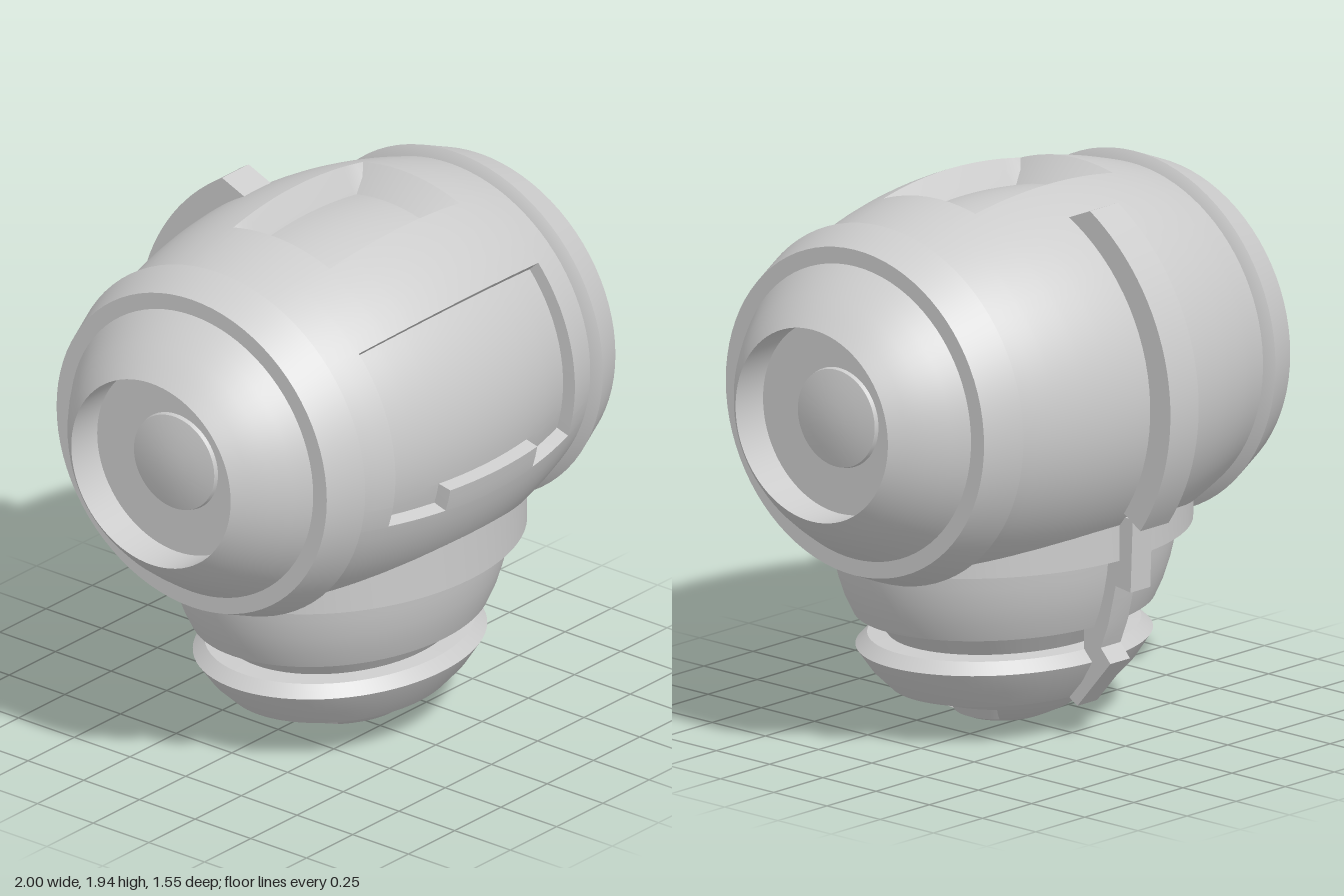
import * as THREE from 'three';
import { toCreasedNormals } from 'three/addons/utils/BufferGeometryUtils.js';

const CY = 1.255, CZ = 0.052, SZ = 1.037; // barrel axis and its stretch in z
const NZ = 0.07;                          // neck centre in z
const RAD = Math.PI / 180;
const material = new THREE.MeshStandardMaterial({ color: 0xcccccc, side: THREE.DoubleSide });

function part(name, geometry, crease = 30) {
  const mesh = new THREE.Mesh(toCreasedNormals(geometry, crease * RAD), material);
  mesh.name = name;
  return mesh;
}

// sorted grid lines: even steps plus the exact edges of cut-outs
function lines(from, to, steps, extra) {
  const all = [...extra];
  for (let i = 0; i <= steps; i++) all.push(from + (to - from) * i / steps);
  return [...new Set(all.map(v => +v.toFixed(5)))].sort((a, b) => a - b);
}

// surface through f(u, v) = [x, y, z, depth]; diagonals follow the creases of the depth
function grid(us, vs, f) {
  const pos = [], depth = [], index = [], n = vs.length;
  for (const u of us) for (const v of vs) {
    const p = f(u, v);
    pos.push(p[0], p[1], p[2]);
    depth.push(p[3]);
  }
  for (let i = 0; i < us.length - 1; i++) for (let j = 0; j < n - 1; j++) {
    const a = i * n + j, b = a + n, c = b + 1, d = a + 1;
    if (Math.abs(depth[a] - depth[c]) >= Math.abs(depth[b] - depth[d])) index.push(a, b, c, a, c, d);
    else index.push(a, b, d, b, c, d);
  }
  const g = new THREE.BufferGeometry();
  g.setAttribute('position', new THREE.Float32BufferAttribute(pos, 3));
  g.setIndex(index);
  return g;
}

const lathe = (pts, seg = 80) => new THREE.LatheGeometry(pts.map(p => new THREE.Vector2(...p)), seg);
const clamp = v => Math.min(1, Math.max(0, v));

// cut-outs of the barrel; t is the angle in degrees from the top towards the front
function cutDepth(x, t) {
  const ax = Math.abs(x);
  const pit = clamp(Math.min((0.35 - ax) / 0.09, (t + 14) / 2.4, (22 - t) / 2.8));
  const tab = Math.max((ax - 0.235) / 0.002, (100.4 - t) / 0.2);
  const door = clamp(Math.min((0.485 - ax) / 0.002, (t - 49) / 0.2, (107.5 - t) / 0.2, tab));
  return 0.1 * pit + 0.05 * door;
}

function barrel() {
  const edges = [0.485, 0.483, 0.237, 0.235, 0.35, 0.26];
  const xs = lines(-0.62, 0.62, 20, [...edges, ...edges.map(e => -e)]);
  const ts = lines(-180, 180, 90, [-14, -11.6, 19.2, 22, 49, 49.2, 100.2, 100.4, 107.3, 107.5]);
  return grid(ts, xs, (t, x) => {
    const d = cutDepth(x, t), r = 0.71 - 0.273 * x * x - d;
    return [x, CY + r * Math.cos(t * RAD), CZ + SZ * r * Math.sin(t * RAD), d];
  });
}

// ring, tapered end and recessed disc on one end of the barrel
function barrelEnd(side) {
  const g = lathe([[0.59, 0.615], [0.605, 0.618], [0.641, 0.642], [0.585, 0.78], [0.526, 0.78],
    [0.486, 0.84], [0.442, 0.9], [0.393, 0.955], [0.345, 1], [0.345, 0.86], [0.178, 0.86],
    [0.174, 0.875], [0.12, 0.888], [0.06, 0.896], [0, 0.9]]);
  g.rotateZ(-side * Math.PI / 2);
  g.scale(1, 1, SZ);
  g.translate(0, CY, CZ);
  return g;
}

// rounded underside with a pocket on each side
function underside() {
  const plain = [[0, 0], [0.08, 0.007], [0.15, 0.022], [0.19, 0.038], [0.25, 0.066], [0.31, 0.105], [0.365, 0.147]];
  const pocket = [[0, 0], [0.08, 0.007], [0.15, 0.022], [0.18, 0.034], [0.225, 0.105], [0.31, 0.105], [0.365, 0.147]];
  const angles = lines(0, 360, 72, [50, 50.3, 129.7, 130, 230, 230.3, 309.7, 310]);
  const g = grid(angles, plain.map((p, i) => i), (a, i) => {
    const cut = Math.abs((a % 180) - 90) < 39.9;
    const [r, y] = (cut ? pocket : plain)[i];
    return [r * Math.sin(a * RAD), y, r * Math.cos(a * RAD) * 0.93, 0];
  });
  return g.translate(0, 0, NZ);
}

// flat outline in z and y, given a width along x
function slab(points, width) {
  const g = new THREE.ExtrudeGeometry(new THREE.Shape(points.map(p => new THREE.Vector2(...p))),
    { depth: width, bevelEnabled: false });
  g.translate(0, 0, -width / 2);
  return g.rotateY(-Math.PI / 2);
}

function backStrap() {
  const pts = [], at = (r, t) => [CZ - 1.05 * r * Math.sin(t * RAD), CY + r * Math.cos(t * RAD)];
  for (let i = 0; i <= 30; i++) pts.push(at(0.79, 33 + 91 * i / 30));
  for (let i = 0; i <= 30; i++) pts.push(at(0.685, 124 - 97 * i / 30));
  return slab(pts, 0.144);
}

export function createModel() {
  const model = new THREE.Group();
  model.name = 'barrelHead';

  model.add(part('barrel', barrel()));
  for (const side of [-1, 1]) model.add(part(side > 0 ? 'leftEnd' : 'rightEnd', barrelEnd(side)));
  model.add(part('backStrap', backStrap()));

  // collar under the barrel
  const collar = lathe([[0.64, 0.68], [0.72, 0.68], [0.72, 0.86]]);
  model.add(part('collar', collar.scale(1, 1, 0.82).translate(0, 0, NZ)));

  // rim, groove and bowl of the neck
  const neck = lathe([[0.35, 0.145], [0.44, 0.145], [0.51, 0.21], [0.57, 0.29], [0.525, 0.33],
    [0.45, 0.335], [0.52, 0.418], [0.58, 0.418], [0.612, 0.48], [0.637, 0.55], [0.655, 0.62], [0.667, 0.7]]);
  model.add(part('neck', neck.scale(1, 1, 0.81).translate(0, 0, NZ)));
  model.add(part('underside', underside()));

  // clip running down the back of the neck
  model.add(part('neckClip', slab([[-0.42, 0.84], [-0.58, 0.84], [-0.57, 0.575], [-0.5, 0.585],
    [-0.465, 0.44], [-0.43, 0.35], [-0.475, 0.3], [-0.32, 0.12], [-0.28, 0.145], [-0.35, 0.27],
    [-0.35, 0.42], [-0.42, 0.6]], 0.1)));
  return model;
}
